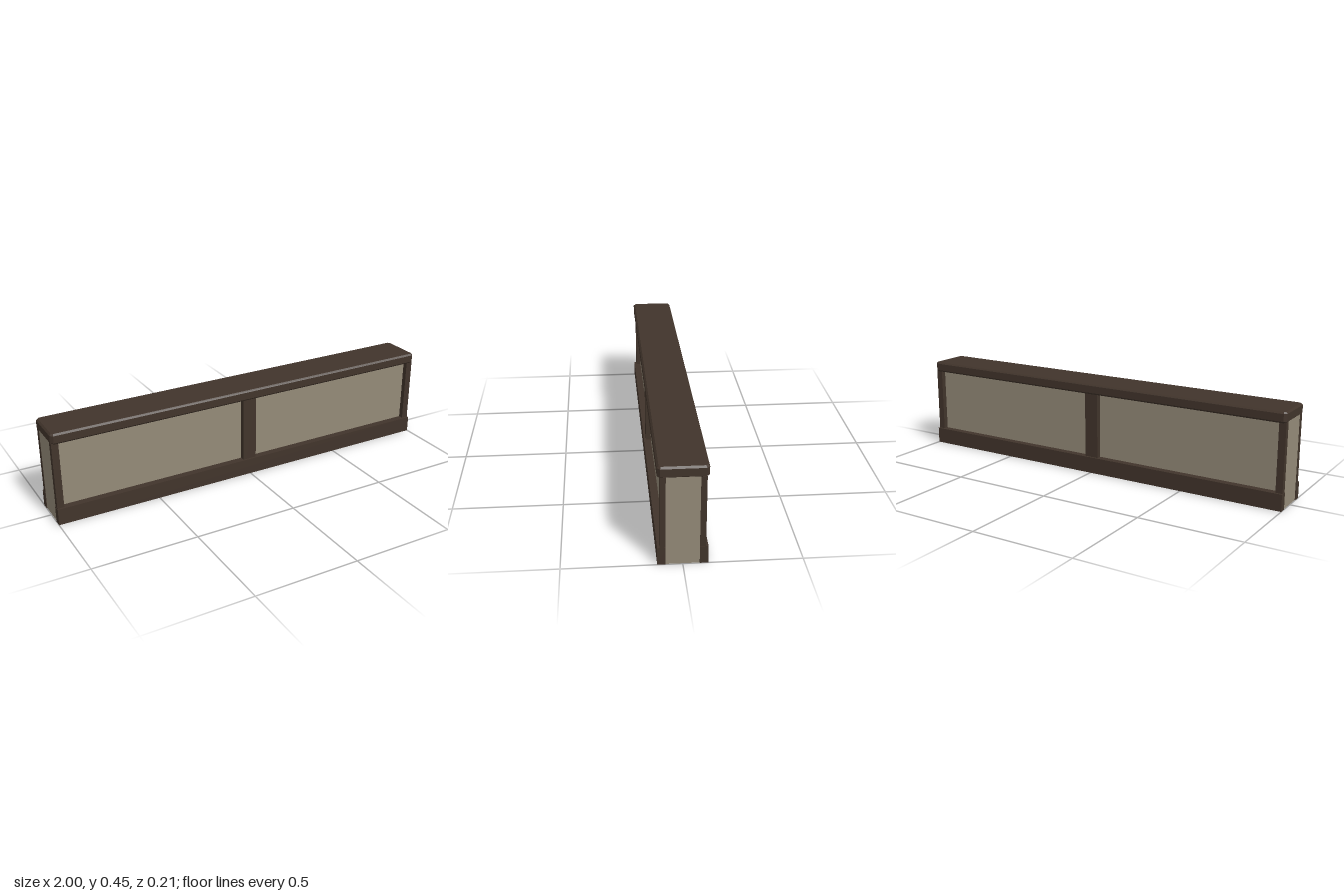
import * as THREE from 'three';

export function createModel() {
  const model = new THREE.Group();
  model.name = 'lowWall';
  const wood = new THREE.MeshStandardMaterial({ color: 0x41342b });
  const plaster = new THREE.MeshStandardMaterial({ color: 0x948a78 });

  const add = (name, geometry, material, x = 0, y = 0, z = 0) => {
    const mesh = new THREE.Mesh(geometry, material);
    mesh.name = name;
    mesh.position.set(x, y, z);
    model.add(mesh);
    return mesh;
  };
  // Box given by its size and the height of its underside
  const box = (name, material, w, h, d, x, y, z) =>
    add(name, new THREE.BoxGeometry(w, h, d), material, x, y + h / 2, z);

  // Plaster core, showing between the timbers and at both ends
  box('wallPanel', plaster, 1.994, 0.405, 0.141, 0, 0, 0);

  // Skirting boards and posts on both faces
  for (const side of [1, -1]) {
    const face = side > 0 ? 'front' : 'back';
    box(face + 'Skirting', wood, 2, 0.08, 0.035, 0, 0, side * 0.0875);
    box(face + 'MiddlePost', wood, 0.07, 0.405, 0.025, 0, 0, side * 0.0825);
    for (const end of [1, -1]) {
      const name = face + (end > 0 ? 'Left' : 'Right') + 'Post';
      box(name, wood, 0.033, 0.405, 0.025, end * 0.9815, 0, side * 0.0825);
    }
  }

  // Top rail, chamfered along every edge
  const c = 0.008, w = 1 - c, d = 0.105 - c;
  const outline = new THREE.Shape([
    [w, -d + c], [w, d - c], [w - c, d], [-w + c, d],
    [-w, d - c], [-w, -d + c], [-w + c, -d], [w - c, -d],
  ].map(([x, y]) => new THREE.Vector2(x, y)));
  const rail = new THREE.ExtrudeGeometry(outline, {
    depth: 0.051 - 2 * c, bevelEnabled: true, bevelSegments: 1, bevelSize: c, bevelThickness: c,
  });
  rail.rotateX(-Math.PI / 2);
  add('topRail', rail, wood, 0, 0.4 + c, 0);

  return model;
}
